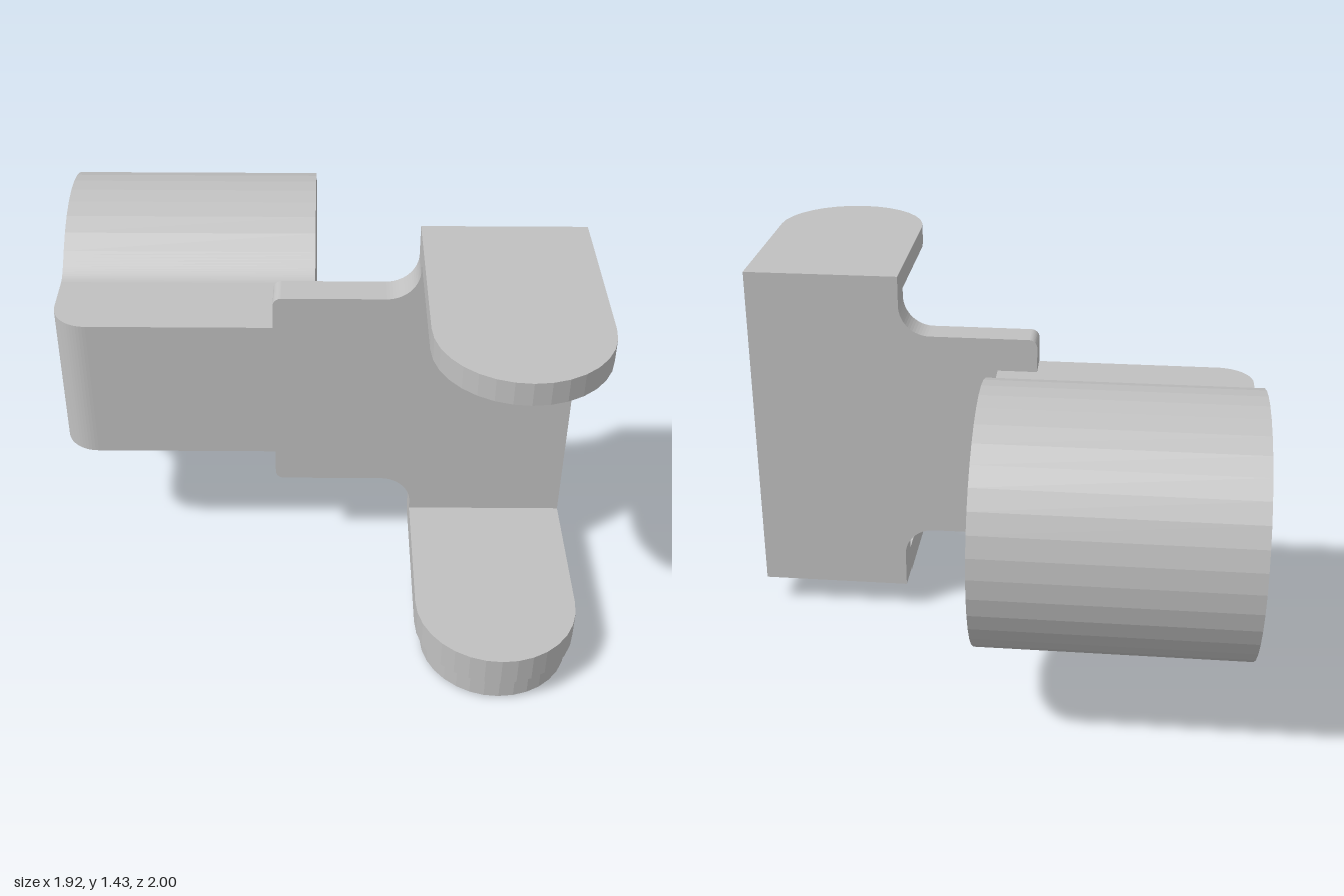
import * as THREE from 'three';

const grey = new THREE.MeshStandardMaterial({ color: 0xc0c0c0 });
grey.name = 'plainGrey';

function part(name, geometry) {
  const mesh = new THREE.Mesh(geometry, grey);
  mesh.name = name;
  return mesh;
}

// Extrude an (x, z) footprint vertically between two heights
function slab(shape, y0, y1, curveSegments = 8) {
  const g = new THREE.ExtrudeGeometry(shape, { depth: y1 - y0, bevelEnabled: false, curveSegments });
  return g.rotateX(Math.PI / 2).translate(0, y1, 0);
}

// Footprint with a flat back and a half-round front
function tongue(x0, x1, zBack, zFront) {
  const r = (x1 - x0) / 2;
  const s = new THREE.Shape();
  s.moveTo(x0, zBack);
  s.lineTo(x1, zBack);
  s.lineTo(x1, zFront - r);
  s.absarc((x0 + x1) / 2, zFront - r, r, 0, Math.PI, false);
  s.closePath();
  return s;
}

export function createModel() {
  const model = new THREE.Group();
  model.name = 'clampBracket';
  const midY = 0.785;

  // Upright plate with a narrow left arm and filleted shoulders
  const plate = new THREE.Shape();
  plate.moveTo(0.96, 0.11);
  plate.lineTo(0.96, 1.43);
  plate.lineTo(0.375, 1.43);
  plate.lineTo(0.375, 1.318);
  plate.absarc(0.258, 1.318, 0.117, 0, -Math.PI / 2, true);
  plate.lineTo(-0.12, 1.201);
  plate.absarc(-0.118, 1.169, 0.032, Math.PI / 2, Math.PI, false);
  plate.lineTo(-0.15, 0.4);
  plate.absarc(-0.118, 0.4, 0.032, Math.PI, Math.PI * 1.5, false);
  plate.lineTo(0.258, 0.368);
  plate.absarc(0.258, 0.251, 0.117, Math.PI / 2, 0, true);
  plate.lineTo(0.375, 0.11);
  plate.closePath();
  const plateGeo = new THREE.ExtrudeGeometry(plate, { depth: 0.117, bevelEnabled: false, curveSegments: 8 });
  model.add(part('uprightPlate', plateGeo.translate(0, 0, 0.075)));

  // Upper and lower jaws
  const jaw = tongue(0.375, 0.96, 0.075, 1);
  model.add(part('upperJaw', slab(jaw, 1.35, 1.433)));
  model.add(part('lowerJaw', slab(jaw, 0.11, 0.217)));

  // Foot pad under the lower jaw, with a slim bottom edge
  model.add(part('footPad', slab(tongue(0.4, 0.94, 0.36, 0.975), 0.012, 0.112)));
  model.add(part('footPadBase', slab(tongue(0.408, 0.93, 0.368, 0.965), 0, 0.012)));

  // Round housing, profiled in (-z, y) and extruded along x
  const a = 2.276, r = 0.47, cu = 0.525;
  const housing = new THREE.Shape();
  housing.moveTo(0.08, 1.073);
  housing.lineTo(0.11, 1.073);
  housing.quadraticCurveTo(0.145, 1.073, cu + r * Math.cos(a), midY + r * Math.sin(a));
  housing.absarc(cu, midY, r, a, -a, true);
  housing.quadraticCurveTo(0.145, 0.497, 0.11, 0.497);
  housing.lineTo(0.08, 0.497);
  housing.closePath();
  const housingGeo = new THREE.ExtrudeGeometry(housing, { depth: 0.96, bevelEnabled: false, curveSegments: 14 });
  model.add(part('roundHousing', housingGeo.rotateY(Math.PI / 2).translate(-0.96, 0, 0)));

  // Neck block joining housing and plate, one vertical edge rounded
  const neck = new THREE.Shape();
  neck.moveTo(-0.96, -0.12);
  neck.lineTo(0, -0.12);
  neck.lineTo(0, 0.188);
  neck.lineTo(-0.83, 0.188);
  neck.absarc(-0.83, 0.058, 0.13, Math.PI / 2, Math.PI, false);
  neck.closePath();
  model.add(part('neckBlock', slab(neck, 0.497, 1.073)));

  return model;
}
